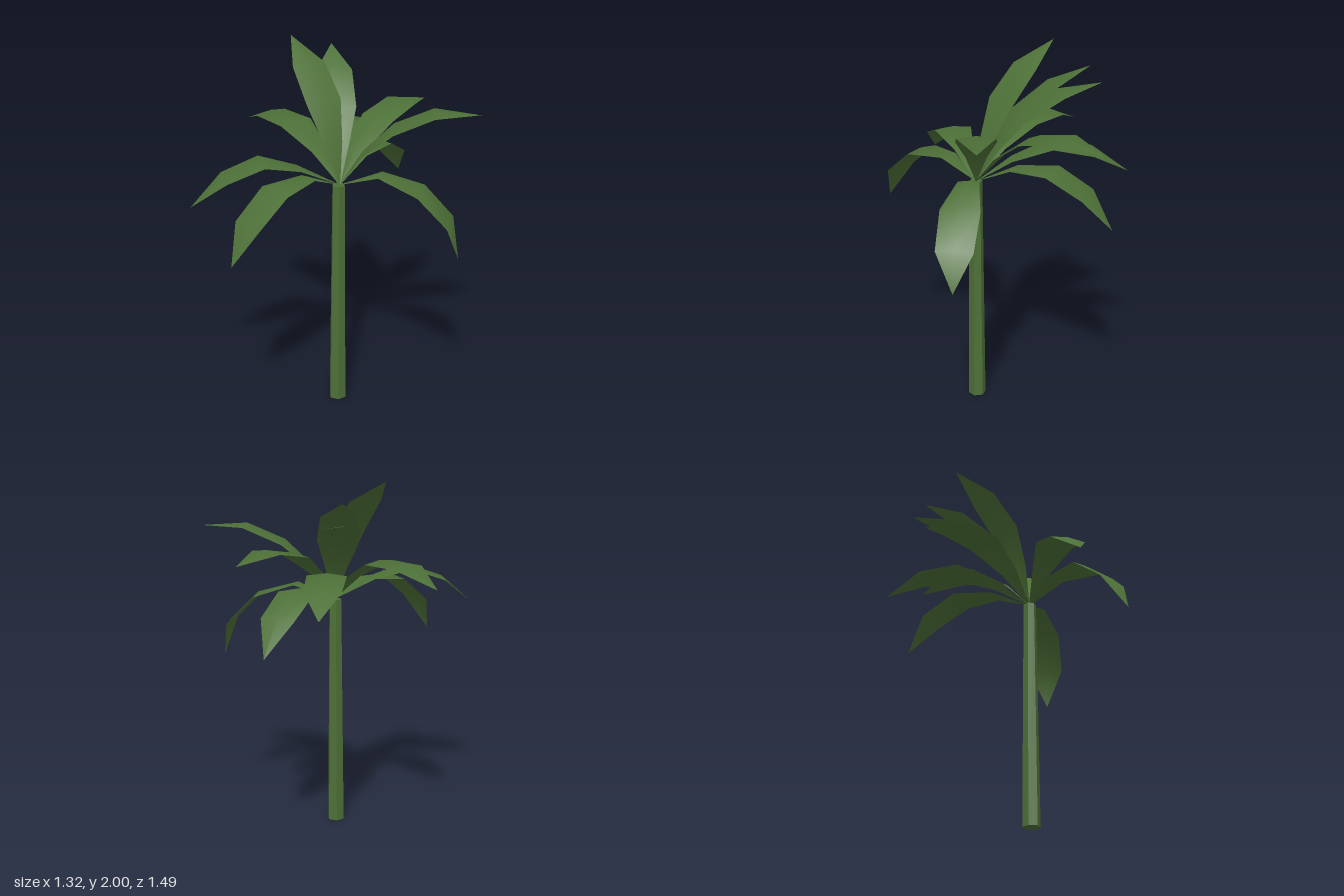
import * as THREE from 'three';

const HUB = new THREE.Vector3(0.14, 1.3, 0.005);
const HALF_WIDTHS = [0.003, 0.055, 0.105, 0.098, 0];
const FOLD = [0, 0.008, 0.014, 0.014, 0];

// Leaf tips in plan [x, z], then [reach, height] at each station from hub to tip
const FRONDS = [
  { tip: [-0.165, 0.74], spine: [[0.22, 1.42], [0.42, 1.478], [0.62, 1.405], [0.80, 1.245]] },
  { tip: [0.19, 0.72], spine: [[0.215, 1.4], [0.435, 1.385], [0.615, 1.24], [0.72, 1.03]] },
  { tip: [0.645, -0.405], spine: [[0.22, 1.385], [0.44, 1.32], [0.60, 1.16], [0.652, 0.94]] },
  { tip: [0.61, -0.555], spine: [[0.12, 1.485], [0.28, 1.63], [0.49, 1.72], [0.73, 1.705]] },
  { tip: [-0.375, -0.04], spine: [[0.065, 1.52], [0.165, 1.73], [0.32, 1.895], [0.515, 2.0]] },
  { tip: [-0.375, -0.315], spine: [[0.085, 1.5], [0.21, 1.68], [0.40, 1.83], [0.61, 1.91]] },
  { tip: [-0.445, -0.34], spine: [[0.11, 1.49], [0.25, 1.66], [0.455, 1.775], [0.68, 1.81]] },
  { tip: [-0.66, 0.07], spine: [[0.165, 1.46], [0.365, 1.57], [0.585, 1.573], [0.80, 1.475]] },
  { tip: [-0.465, -0.525], spine: [[0.19, 1.435], [0.405, 1.525], [0.62, 1.485], [0.81, 1.36]] },
  { tip: [-0.2, -0.675], spine: [[0.215, 1.41], [0.43, 1.428], [0.625, 1.325], [0.765, 1.135]] },
  { tip: [-0.06, -0.74], spine: [[0.145, 1.47], [0.33, 1.605], [0.55, 1.65], [0.776, 1.595]] },
];

// Arched blade with a shallow ridge along its middle
function frondGeometry({ tip, spine }) {
  const dir = new THREE.Vector3(tip[0] - HUB.x, 0, tip[1] - HUB.z).normalize();
  const side = new THREE.Vector3(dir.z, 0, -dir.x);
  const positions = [];
  const index = [];
  [[0, HUB.y], ...spine].forEach(([reach, y], i) => {
    for (let j = -1; j <= 1; j++) {
      const p = new THREE.Vector3(HUB.x, y - Math.abs(j) * FOLD[i], HUB.z)
        .addScaledVector(dir, reach)
        .addScaledVector(side, j * HALF_WIDTHS[i]);
      positions.push(p.x, p.y, p.z);
    }
  });
  for (let i = 0; i < spine.length; i++) {
    for (let j = 0; j < 2; j++) {
      const a = i * 3 + j;
      index.push(a, a + 3, a + 1);
      if (i < spine.length - 1) index.push(a + 3, a + 4, a + 1); // the tip closes to a point
    }
  }
  const geometry = new THREE.BufferGeometry();
  geometry.setAttribute('position', new THREE.Float32BufferAttribute(positions, 3));
  geometry.setIndex(index);
  geometry.computeVertexNormals();
  return geometry;
}

export function createModel() {
  const model = new THREE.Group();
  model.name = 'palmTree';

  const green = new THREE.MeshStandardMaterial({ color: 0x4d7037, side: THREE.DoubleSide });
  green.name = 'palmGreen';

  // Tapered six-sided trunk
  const trunkGeometry = new THREE.CylinderGeometry(0.036, 0.049, 1.3, 6).toNonIndexed();
  trunkGeometry.computeVertexNormals();
  const trunk = new THREE.Mesh(trunkGeometry, green);
  trunk.name = 'trunk';
  trunk.position.set(0.138, 0.65, 0.011);
  model.add(trunk);

  // Crown of fronds
  const crown = new THREE.Group();
  crown.name = 'crown';
  FRONDS.forEach((frond, i) => {
    const mesh = new THREE.Mesh(frondGeometry(frond), green);
    mesh.name = `frond${i + 1}`;
    crown.add(mesh);
  });
  model.add(crown);

  return model;
}
